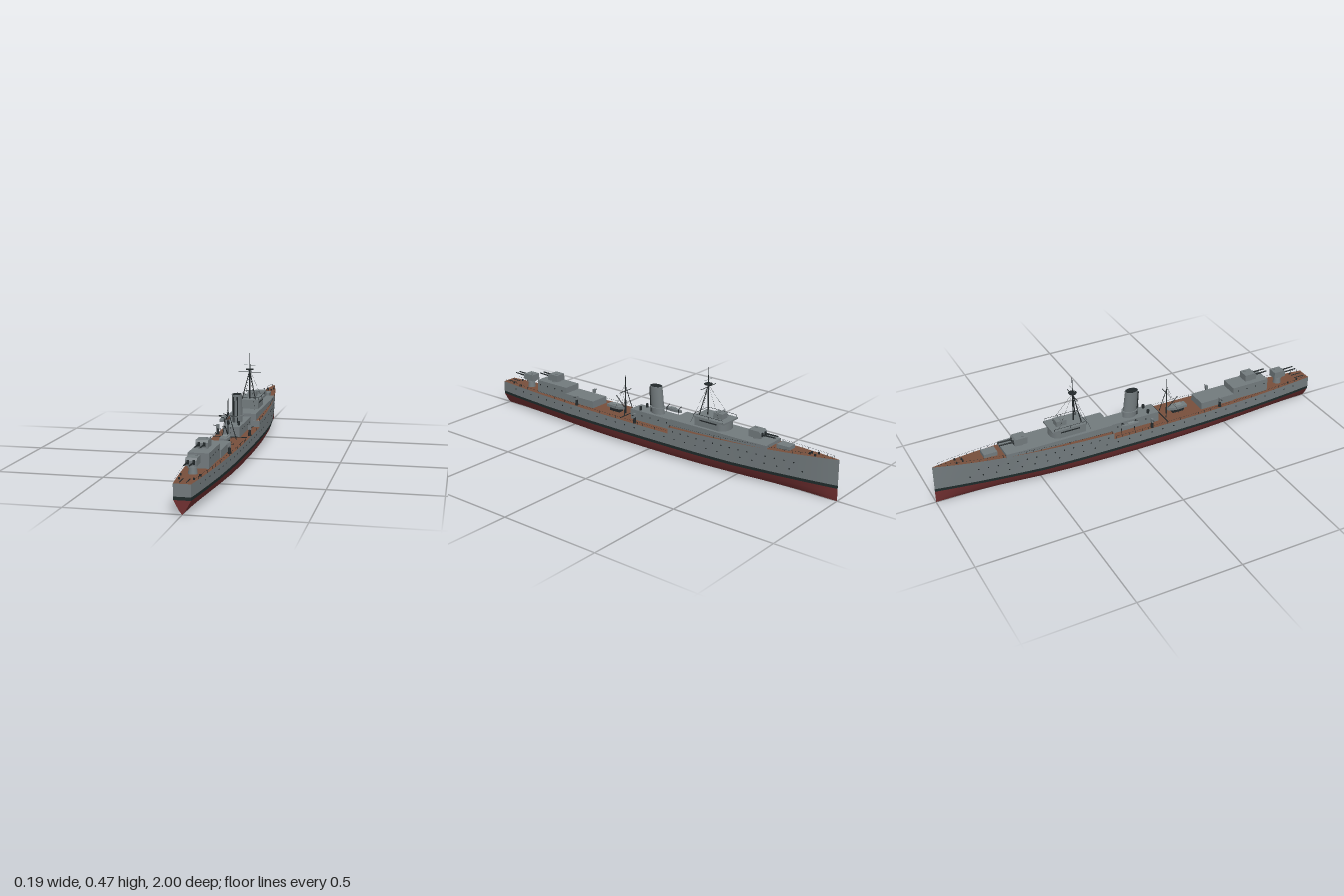
import * as THREE from 'three';
import { mergeGeometries, toCreasedNormals } from 'three/addons/utils/BufferGeometryUtils.js';

const mat = (name, color, extra = {}) => new THREE.MeshStandardMaterial({ name, color, ...extra });

// Grid of points -> surface (front side is column direction x row direction)
function grid(rows) {
  const pos = [], idx = [], n = rows[0].length;
  rows.forEach((r) => r.forEach((p) => pos.push(...p)));
  for (let i = 0; i < rows.length - 1; i++) for (let j = 0; j < n - 1; j++) {
    const a = i * n + j, b = a + n;
    idx.push(a, a + 1, b, a + 1, b + 1, b);
  }
  const g = new THREE.BufferGeometry();
  g.setAttribute('position', new THREE.Float32BufferAttribute(pos, 3));
  g.setIndex(idx);
  return toCreasedNormals(g, 0.6);
}

// Hull lines: the bow is at -z, the forecastle breaks at z = BREAK
const BREAK = -0.14;
const BEAM = [[-1, 0.001], [-0.95, 0.013], [-0.9, 0.024], [-0.8, 0.042], [-0.7, 0.056], [-0.6, 0.066],
  [-0.5, 0.074], [-0.4, 0.079], [-0.3, 0.083], [BREAK, 0.085], [0, 0.086], [0.2, 0.085], [0.35, 0.083],
  [0.5, 0.077], [0.65, 0.069], [0.8, 0.057], [0.9, 0.048], [1, 0.037]];
const foreDeck = (z) => 0.157 + 0.035 * Math.pow(Math.max(0, (BREAK - z) / 0.86), 1.3);
const MAIN = 0.125;
function beamAt(z) {
  const i = Math.min(BEAM.length - 2, Math.max(0, BEAM.findIndex((b) => b[0] >= z) - 1));
  const [z0, b0] = BEAM[i], [z1, b1] = BEAM[i + 1];
  return THREE.MathUtils.lerp(b0, b1, (z - z0) / (z1 - z0));
}
function halfWidth(z, y) {
  const flare = Math.max(0, (-z - 0.5) / 0.5) * 0.3;
  const top = 1 - flare * (1 - Math.min(1, Math.max(0, (y - 0.06) / 0.12)));
  const p = 0.17 + 0.65 * Math.pow(Math.abs(z), 2.5);
  return beamAt(z) * top * Math.pow(Math.min(1, y / 0.06), p);
}

export function createModel() {
  const ship = new THREE.Group();
  ship.name = 'warship';
  const grey = mat('hull grey', 0x727a7d), red = mat('bottom red', 0x702f30);
  const boot = mat('waterline green black', 0x1f2b2b), wood = mat('deck brown', 0x774f3c);
  const dark = mat('fittings black', 0x22282a, { side: THREE.DoubleSide });
  const steel = mat('light steel', 0x7f888a);

  const add = (name, geo, m, x = 0, y = 0, z = 0, parent = ship) => {
    const mesh = new THREE.Mesh(geo, m);
    mesh.name = name;
    mesh.position.set(x, y, z);
    parent.add(mesh);
    return mesh;
  };
  // Box given by centre x, base y, top y and z range
  const block = (name, m, w, y0, y1, z0, z1, x = 0, parent = ship) =>
    add(name, new THREE.BoxGeometry(w, y1 - y0, Math.abs(z1 - z0)), m, x, (y0 + y1) / 2, (z0 + z1) / 2, parent);
  const rodGeo = (a, b, r0, r1 = r0, sides = 6) => {
    const A = new THREE.Vector3(...a), d = new THREE.Vector3(...b).sub(A);
    const g = new THREE.CylinderGeometry(r1, r0, d.length(), sides);
    g.applyQuaternion(new THREE.Quaternion().setFromUnitVectors(new THREE.Vector3(0, 1, 0), d.clone().normalize()));
    return g.translate(...A.addScaledVector(d, 0.5).toArray());
  };
  const rods = (name, list, m = dark, parent = ship) =>
    add(name, mergeGeometries(list.map((r) => rodGeo(...r))), m, 0, 0, 0, parent);

  // Hull in painted bands, with transom
  const zs = BEAM.map((b) => b[0]);
  const fore = zs.filter((z) => z <= BREAK), aft = zs.filter((z) => z >= BREAK);
  const band = (name, m, stations, levels) => {
    const side = (s) => grid(stations.map((z) => {
      const row = levels(z).map((y) => [s * halfWidth(z, y), y, z]);
      return s > 0 ? row : row.reverse();
    }));
    const parts = [side(1), side(-1)];
    if (stations.at(-1) === 1) parts.push(grid(levels(1).map((y) => [[-halfWidth(1, y), y, 1], [halfWidth(1, y), y, 1]])));
    add(name, mergeGeometries(parts), m);
  };
  band('hullBottom', red, zs, () => [0, 0.003, 0.008, 0.018, 0.035, 0.058]);
  band('waterlineBand', boot, zs, () => [0.058, 0.072]);
  band('hullSidesAft', grey, aft, () => [0.072, 0.1, MAIN]);
  band('hullSidesFore', grey, fore, (z) => [0.072, 0.12, foreDeck(z)]);
  const deck = (name, stations, h) => add(name, grid(stations.map((z) => {
    const b = halfWidth(z, h(z));
    return [[b, h(z), z], [-b, h(z), z]];
  })), wood);
  deck('mainDeck', aft, () => MAIN);
  deck('forecastleDeck', fore, foreDeck);
  block('forecastleBulkhead', grey, 0.168, MAIN, foreDeck(BREAK) - 0.001, BREAK - 0.004, BREAK + 0.001);

  // Deckhouses
  block('forwardDeckhouse', grey, 0.13, 0.15, 0.19, -0.55, -0.141);
  const nose = new THREE.Shape([[-0.065, 0.55], [0.065, 0.55], [0.06, 0.67], [-0.06, 0.67]].map((p) => new THREE.Vector2(...p)));
  add('forwardGunDeck', new THREE.ExtrudeGeometry(nose, { depth: 0.03, bevelEnabled: false }).rotateX(-Math.PI / 2), grey, 0, 0.16, 0);
  block('funnelDeckhouse', grey, 0.08, MAIN, 0.175, -0.141, 0.12);
  block('aftDeckhouse', grey, 0.1, MAIN, 0.16, 0.355, 0.54);
  block('aftGunDeckhouse', grey, 0.09, MAIN, 0.19, 0.54, 0.74);
  block('foreHatchHouse', grey, 0.05, 0.172, 0.197, -0.765, -0.7);

  // Bridge with rounded front
  block('bridgeHouse', grey, 0.1, 0.19, 0.228, -0.4, -0.27);
  const round = new THREE.CylinderGeometry(0.05, 0.05, 0.038, 20, 1, false, Math.PI / 2, Math.PI).scale(1, 1, 0.75);
  add('bridgeFront', round, grey, 0, 0.209, -0.4);
  block('bridgeTop', grey, 0.11, 0.228, 0.236, -0.44, -0.265);
  block('bridgeWindows', dark, 0.102, 0.216, 0.222, -0.396, -0.3);
  block('rangefinderHouse', grey, 0.042, 0.236, 0.262, -0.405, -0.355);
  rods('rangefinderArm', [[[-0.035, 0.264, -0.38], [0.035, 0.264, -0.38], 0.003]], grey);
  rods('bridgeRail', [[[-0.054, 0.247, -0.27], [0.054, 0.247, -0.27], 0.001],
    ...[-1, 1].flatMap((s) => [[[s * 0.054, 0.247, -0.27], [s * 0.054, 0.247, -0.43], 0.001],
      ...[-0.27, -0.35, -0.43].map((z) => [[s * 0.054, 0.236, z], [s * 0.054, 0.247, z], 0.001])])]);

  // Raked funnel
  const funnel = new THREE.Group();
  funnel.name = 'funnel';
  funnel.position.set(0, 0.175, -0.018);
  ship.add(funnel);
  const oval = (r0, r1, h, y) => new THREE.CylinderGeometry(r1, r0, h, 28).scale(1, 1, 1.4)
    .translate(0, y, 0).applyMatrix4(new THREE.Matrix4().makeShear(0, 0, 0, 0.09, 0, 0));
  add('funnelBody', oval(0.025, 0.023, 0.134, 0.067), grey, 0, 0, 0, funnel);
  add('funnelCollar', oval(0.03, 0.03, 0.005, 0.03), grey, 0, 0, 0, funnel);
  add('funnelRim', oval(0.024, 0.024, 0.004, 0.132), grey, 0, 0, 0, funnel);
  add('funnelMouth', oval(0.021, 0.021, 0.002, 0.1345), dark, 0, 0, 0, funnel);
  rods('steamPipes', [-1, 1].map((s) => [[s * 0.009, 0, 0.036], [s * 0.009, 0.125, 0.044], 0.003]), dark, funnel);

  // Gun houses; dir is the way the barrels point along z
  const gun = (name, y, z, dir, w) => {
    const g = new THREE.Group();
    g.name = name;
    g.position.set(0, y, z);
    if (dir < 0) g.rotation.y = Math.PI;
    ship.add(g);
    add('gunBase', new THREE.CylinderGeometry(0.02, 0.022, 0.012, 20), grey, 0, 0.004, 0, g);
    const s = new THREE.Shape(), h = 0.033;
    [[-0.032, 0], [0.03, 0], [0.032, 0.022], [0.024, h], [-0.032, h]].forEach(([a, b], i) => (i ? s.lineTo(a, b) : s.moveTo(a, b)));
    const shell = new THREE.ExtrudeGeometry(s, { depth: w, bevelEnabled: false }).translate(0, 0, -w / 2).rotateY(-Math.PI / 2);
    add('gunHouse', shell, grey, 0, 0.008, 0, g);
    [-1, 1].forEach((k) => {
      rods('barrel', [[[k * 0.012, 0.024, 0.025], [k * 0.012, 0.026, 0.1], 0.004, 0.0028, 10]], dark, g);
      block('gunPort', dark, 0.01, 0.015, 0.033, 0.03, 0.034, k * 0.012, g);
    });
    add('sightHood', new THREE.CylinderGeometry(0.005, 0.005, 0.005, 10), grey, 0.012, 0.043, -0.015, g);
  };
  gun('forwardGun', 0.19, -0.585, -1, 0.054);
  gun('upperAftGun', 0.19, 0.652, 1, 0.054);
  gun('sternGun', 0.155, 0.83, 1, 0.048);
  add('sternGunPedestal', new THREE.CylinderGeometry(0.016, 0.02, 0.03, 20), grey, 0, 0.14, 0.83);

  // Masts, yards and rigging
  rods('foremast', [[[0, 0.19, -0.31], [0, 0.38, -0.31], 0.004, 0.003], [[0, 0.38, -0.31], [0, 0.465, -0.31], 0.003, 0.001],
    ...[-1, 1].map((s) => [[s * 0.034, 0.236, -0.285], [0, 0.38, -0.31], 0.0028, 0.002]),
    [[-0.058, 0.37, -0.31], [0.058, 0.37, -0.31], 0.0015]]);
  add('lookoutPlatform', new THREE.CylinderGeometry(0.02, 0.018, 0.004, 20), dark, 0, 0.383, -0.31);
  rods('aerialYard', [[[-0.029, 0.405, -0.31], [0.029, 0.405, -0.31], 0.0012]], steel);
  rods('mainmast', [[[0, MAIN, 0.185], [0, 0.32, 0.185], 0.0035, 0.0012],
    [[-0.045, 0.24, 0.185], [0.045, 0.24, 0.185], 0.0015],
    ...[-1, 1].map((s) => [[s * 0.035, MAIN, 0.165], [0, 0.265, 0.185], 0.002, 0.0015])]);
  rods('rigging', [-1, 1].flatMap((s) => [[[s * 0.04, 0.19, -0.24], [0, 0.38, -0.31], 0.0005, 0.0005, 3],
    [[s * 0.04, 0.236, -0.4], [0, 0.38, -0.31], 0.0005, 0.0005, 3], [[s * 0.03, MAIN, 0.24], [0, 0.28, 0.185], 0.0005, 0.0005, 3]]));
  rods('boatBoom', [[[0, 0.15, 0.19], [0, 0.205, 0.245], 0.002]]);

  // Ship's boats
  const boat = (name, x, y, z, w, l) => {
    const s = new THREE.Shape();
    s.moveTo(-w * 0.8, l).lineTo(w * 0.8, l).lineTo(w, 0).quadraticCurveTo(w * 0.8, -l * 0.7, 0, -l)
      .quadraticCurveTo(-w * 0.8, -l * 0.7, -w, 0).lineTo(-w * 0.8, l);
    add(name, new THREE.ExtrudeGeometry(s, { depth: 0.013, bevelEnabled: false, curveSegments: 8 }).rotateX(Math.PI / 2), grey, x, y, z);
    block(name + 'Cabin', steel, w * 1.1, y, y + 0.006, z - l * 0.2, z + l * 0.5, x);
  };
  boat('centreBoat', 0, 0.155, 0.24, 0.022, 0.052);
  block('boatCradle', dark, 0.03, MAIN, 0.142, 0.215, 0.275);
  boat('sideBoat', -0.078, 0.182, -0.055, 0.011, 0.046);
  rods('davits', [-0.09, -0.02].flatMap((z) => [[[-0.056, MAIN, z], [-0.066, 0.188, z], 0.002], [[-0.066, 0.188, z], [-0.088, 0.195, z], 0.002]]));
  rods('crossPipe', [[[-0.082, 0.134, 0.15], [0.082, 0.134, 0.15], 0.002]]);

  // Light guns, vents, bollards
  for (const s of [-1, 1]) {
    for (const [x, y, z] of [[0.077, MAIN, 0.065], [0.066, MAIN, 0.45]]) {
      add('lightGunMount', new THREE.CylinderGeometry(0.005, 0.008, 0.035, 10), dark, s * x, y + 0.0175, z);
      block('lightGunShield', grey, 0.014, y + 0.028, y + 0.048, z - 0.005, z + 0.005, s * x);
      rods('lightGunBarrel', [[[s * x, y + 0.04, z], [s * (x + 0.02), y + 0.044, z], 0.0015]]);
    }
    add('ventilator', new THREE.CylinderGeometry(0.007, 0.006, 0.018, 12), dark, s * 0.025, 0.184, 0.07);
    for (const [x, z] of [[0.016, -0.89], [0.008, -0.86], [0.03, 0.93], [0.04, 0.87]])
      add('bollard', new THREE.CylinderGeometry(0.004, 0.004, 0.009, 8), dark, s * x, (z < 0 ? foreDeck(z) : MAIN) + 0.004, z);
  }
  rods('sternRacks', [-1, 1].map((s) => [[s * 0.014, 0.128, 0.93], [s * 0.014, 0.128, 0.985], 0.002]));

  // Portholes, and railings along the deck edges
  const holes = [];
  const porthole = (x, y, z) => [-1, 1].forEach((s) =>
    holes.push(new THREE.CylinderGeometry(0.0035, 0.0035, 0.002, 8).rotateZ(Math.PI / 2).translate(s * x, y, z)));
  for (let z = -0.84; z < 0.95; z += 0.06) porthole(halfWidth(z, 0.105), 0.105, z);
  for (let z = -0.8; z < -0.16; z += 0.045) porthole(halfWidth(z, 0.14), 0.14, z);
  for (let z = 0.57; z < 0.73; z += 0.05) porthole(0.045, 0.168, z);
  for (let z = -0.1; z < 0.1; z += 0.05) porthole(0.04, 0.155, z);
  add('portholes', mergeGeometries(holes), dark);
  const rails = [];
  const rail = (z0, z1, h) => {
    const n = Math.round((z1 - z0) / 0.035);
    for (const s of [-1, 1]) for (let i = 0; i <= n; i++) {
      const at = (k, up) => { const z = z0 + (z1 - z0) * k / n; return [s * (halfWidth(z, h(z)) - 0.002), h(z) + up, z]; };
      rails.push([at(i, 0), at(i, 0.012), 0.0005, 0.0005, 3]);
      if (i < n) rails.push([at(i, 0.012), at(i + 1, 0.012), 0.0004, 0.0004, 3]);
    }
  };
  rail(-0.97, BREAK - 0.01, foreDeck);
  rail(BREAK + 0.01, 0.98, () => MAIN);
  rods('railings', rails);
  return ship;
}
